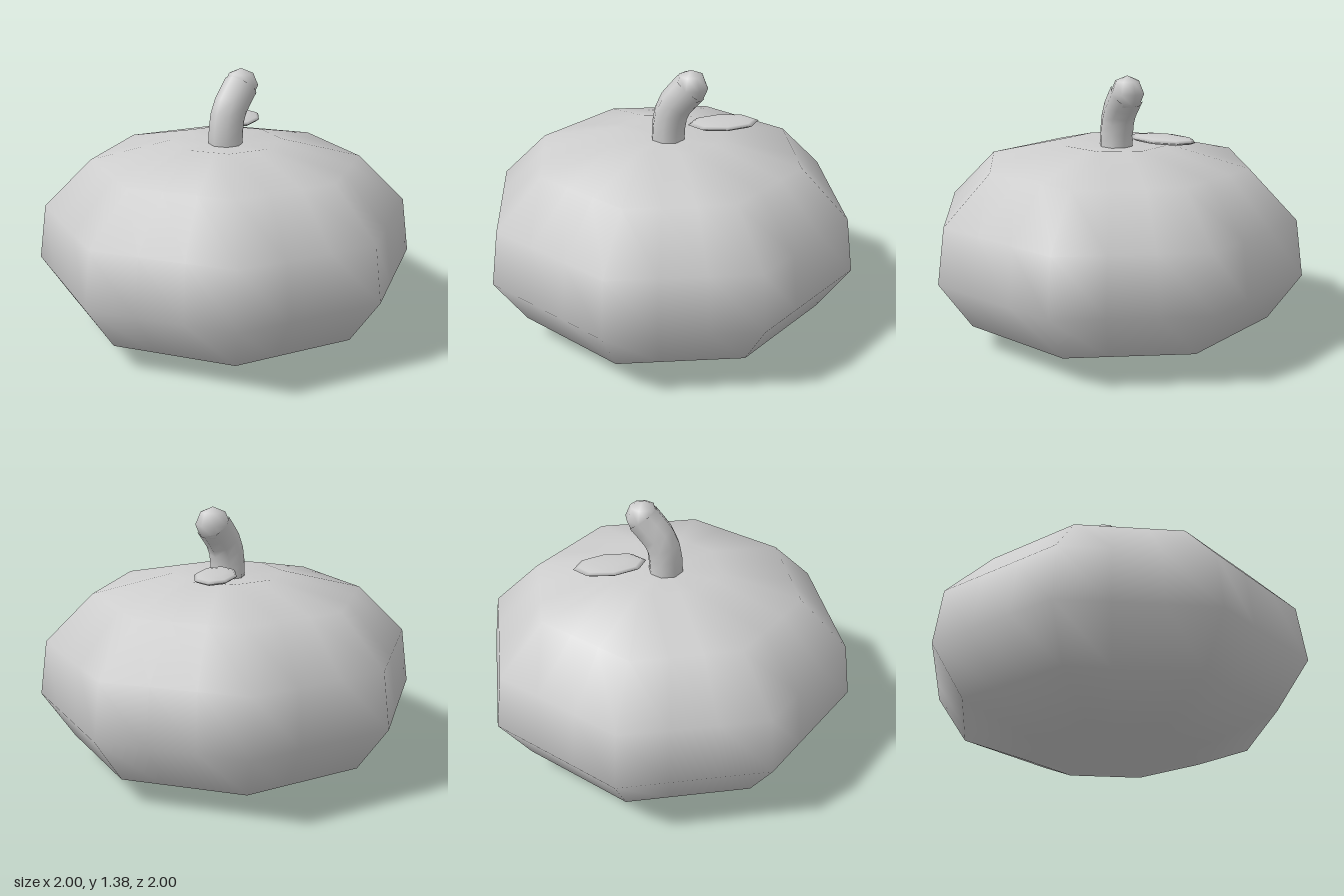
import * as THREE from 'three';
import { mergeVertices } from 'three/addons/utils/BufferGeometryUtils.js';

const grey = new THREE.MeshStandardMaterial({ color: 0xcccccc });
grey.name = 'light grey';

function addMesh(parent, name, geometry) {
  const mesh = new THREE.Mesh(geometry, grey);
  mesh.name = name;
  parent.add(mesh);
  return mesh;
}

// Turned profile pushed in and out to make eight lobes
function lobedBody() {
  const profile = [
    [0, 0], [0.5, 0], [0.83, 0.13], [1, 0.38],
    [0.96, 0.67], [0.71, 0.92], [0.29, 1.02], [0, 0.99],
  ].map(([r, y]) => new THREE.Vector2(r, y));
  let geometry = new THREE.LatheGeometry(profile, 24);
  const pos = geometry.attributes.position;
  const depth = 0.048;
  for (let i = 0; i < pos.count; i++) {
    const x = pos.getX(i), z = pos.getZ(i);
    const k = (1 + depth * Math.cos(8 * Math.atan2(x, z))) / (1 + depth);
    pos.setX(i, x * k);
    pos.setZ(i, z * k);
  }
  // Weld the seam so the shading is smooth all round
  geometry.deleteAttribute('uv');
  geometry.deleteAttribute('normal');
  geometry = mergeVertices(geometry, 1e-4);
  geometry.computeVertexNormals();
  return geometry;
}

export function createModel() {
  const model = new THREE.Group();
  model.name = 'pumpkin';

  addMesh(model, 'body', lobedBody());

  // Bent stem with a rounded tip
  const stem = new THREE.Group();
  stem.name = 'stem';
  model.add(stem);
  const path = new THREE.CatmullRomCurve3([
    new THREE.Vector3(0, 0.95, 0),
    new THREE.Vector3(0, 1.06, 0),
    new THREE.Vector3(0.025, 1.17, 0),
    new THREE.Vector3(0.12, 1.29, 0),
  ]);
  addMesh(stem, 'stemStalk', new THREE.TubeGeometry(path, 6, 0.09, 8));
  addMesh(stem, 'stemTip', new THREE.SphereGeometry(0.09, 8, 4)).position.set(0.12, 1.29, 0);

  // Flat leaf beside the stem
  const leaf = addMesh(model, 'leaf', new THREE.SphereGeometry(1, 8, 6));
  leaf.scale.set(0.19, 0.022, 0.108);
  leaf.rotation.y = 0.5;
  leaf.position.set(0.26, 1.065, -0.13);

  return model;
}
